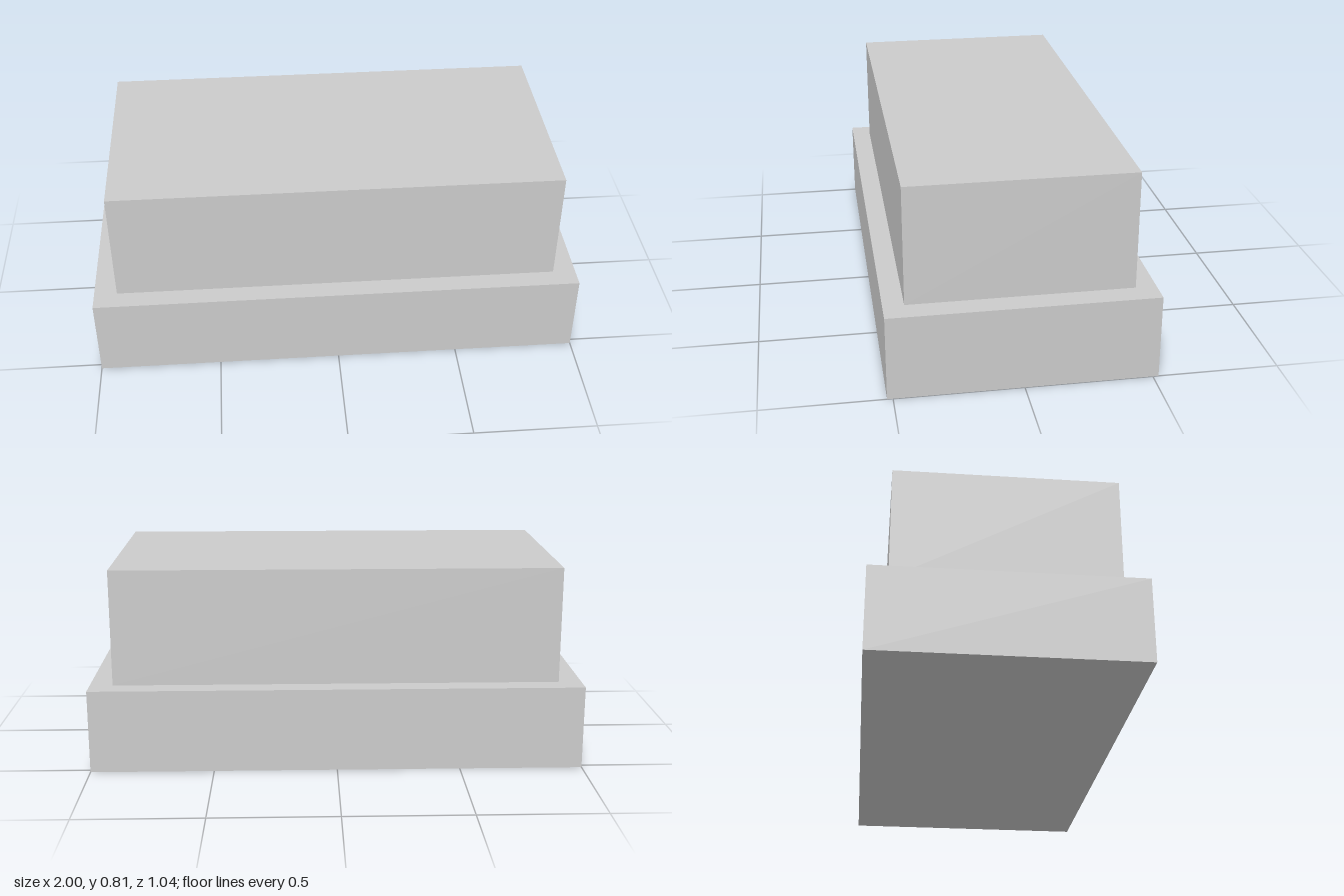
import * as THREE from 'three';

export function createModel() {
  const group = new THREE.Group();
  group.name = 'steppedBlock';
  const material = new THREE.MeshStandardMaterial({ color: 0xcccccc, flatShading: true });

  // Box centred on x and z, standing at height y
  const addBlock = (name, width, height, depth, y) => {
    const mesh = new THREE.Mesh(new THREE.BoxGeometry(width, height, depth), material);
    mesh.name = name;
    mesh.position.y = y + height / 2;
    group.add(mesh);
  };

  // Wide plinth with a narrower block on top
  addBlock('base', 2, 0.341, 1.045, 0);
  addBlock('upperBlock', 1.814, 0.474, 0.882, 0.341);

  return group;
}
